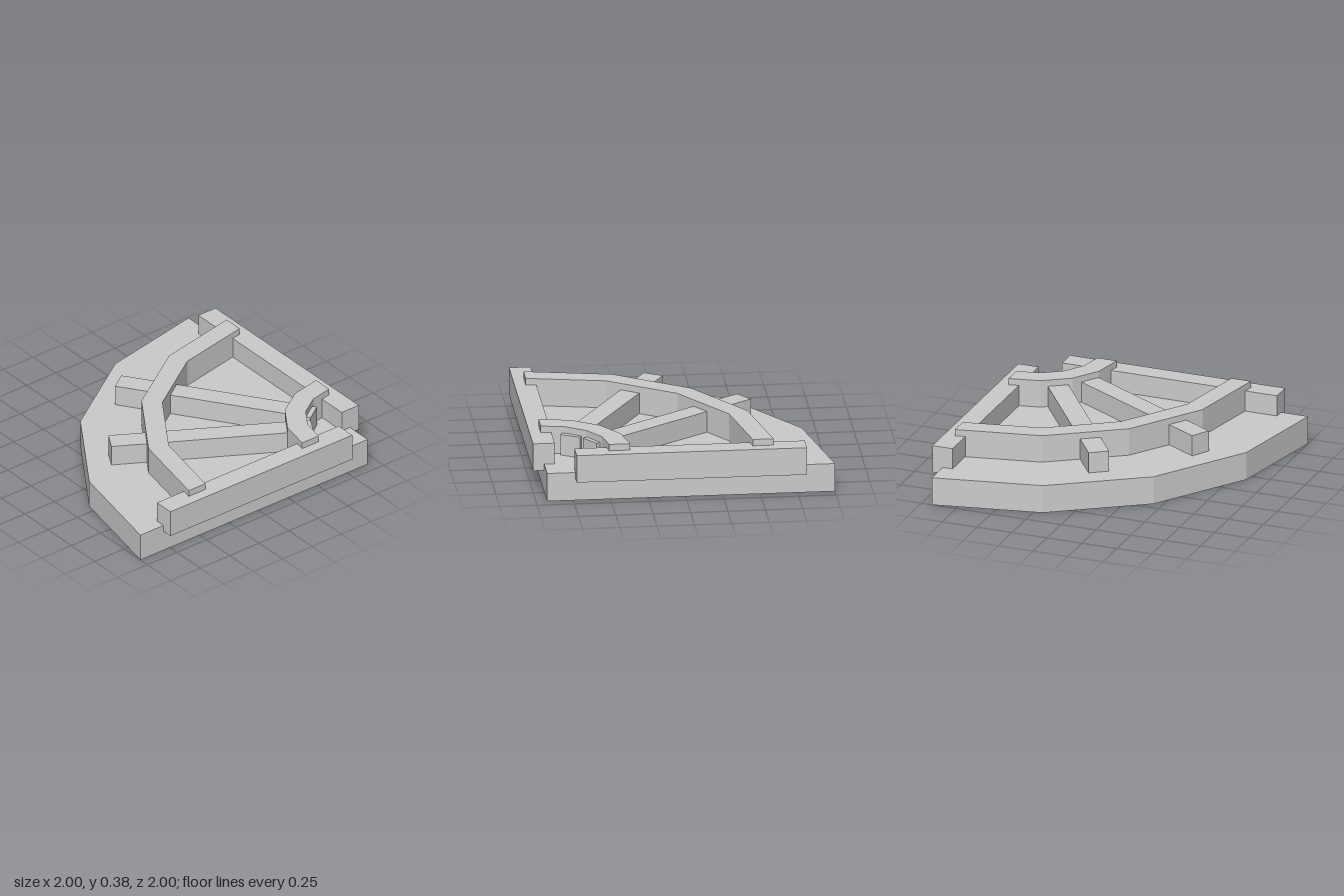
import * as THREE from 'three';

const CORNER = 0.925;   // x and z of the corner all arcs share
const FLOOR = 0.195;    // top of the base slab
const SEGMENTS = 4;     // facets per quarter turn

// Point at a radius and angle from the corner, in plan (x, -z)
const polar = (r, a) => new THREE.Vector2(CORNER - r * Math.cos(a), -CORNER + r * Math.sin(a));

const arc = (r) => Array.from({ length: SEGMENTS + 1 },
  (_, i) => polar(r, (i / SEGMENTS) * Math.PI / 2));

export function createModel() {
  const group = new THREE.Group();
  const material = new THREE.MeshStandardMaterial({ color: 0xcccccc, flatShading: true });

  const add = (name, geometry) => {
    const mesh = new THREE.Mesh(geometry, material);
    mesh.name = name;
    group.add(mesh);
    return mesh;
  };

  // Plan outline raised from y0 to y1
  const slab = (name, points, y0, y1) => {
    const geometry = new THREE.ExtrudeGeometry(new THREE.Shape(points),
      { depth: y1 - y0, bevelEnabled: false });
    geometry.rotateX(-Math.PI / 2).translate(0, y0, 0);
    return add(name, geometry);
  };

  // Faceted quarter-round base
  slab('base', [new THREE.Vector2(CORNER, -CORNER), ...arc(1.925)], 0, FLOOR);

  // Curved walls
  const curvedWall = (name, inner, outer) =>
    slab(name, [...arc(outer), ...arc(inner).reverse()], FLOOR, 0.385);
  curvedWall('outerCurvedWall', 1.375, 1.515);
  curvedWall('innerCurvedWall', 0.415, 0.555);

  // Straight walls overhanging the two straight sides of the base
  const length = 1.54, mid = -0.035, thick = 0.145, height = 0.19;
  add('frontWall', new THREE.BoxGeometry(length, height, thick))
    .position.set(mid, 0.245, 1 - thick / 2);
  add('leftWall', new THREE.BoxGeometry(thick, height, length))
    .position.set(1 - thick / 2, 0.245, mid);

  // Radial beams passing through both curved walls
  const r0 = 0.375, r1 = 1.733, top = 0.34;
  for (const degrees of [30, 55]) {
    const a = THREE.MathUtils.degToRad(degrees);
    const p = polar((r0 + r1) / 2, a);
    const beam = add('radialBeam', new THREE.BoxGeometry(r1 - r0, top - FLOOR, 0.14));
    beam.position.set(p.x, (top + FLOOR) / 2, -p.y);
    beam.rotation.y = -a;
  }

  return group;
}
